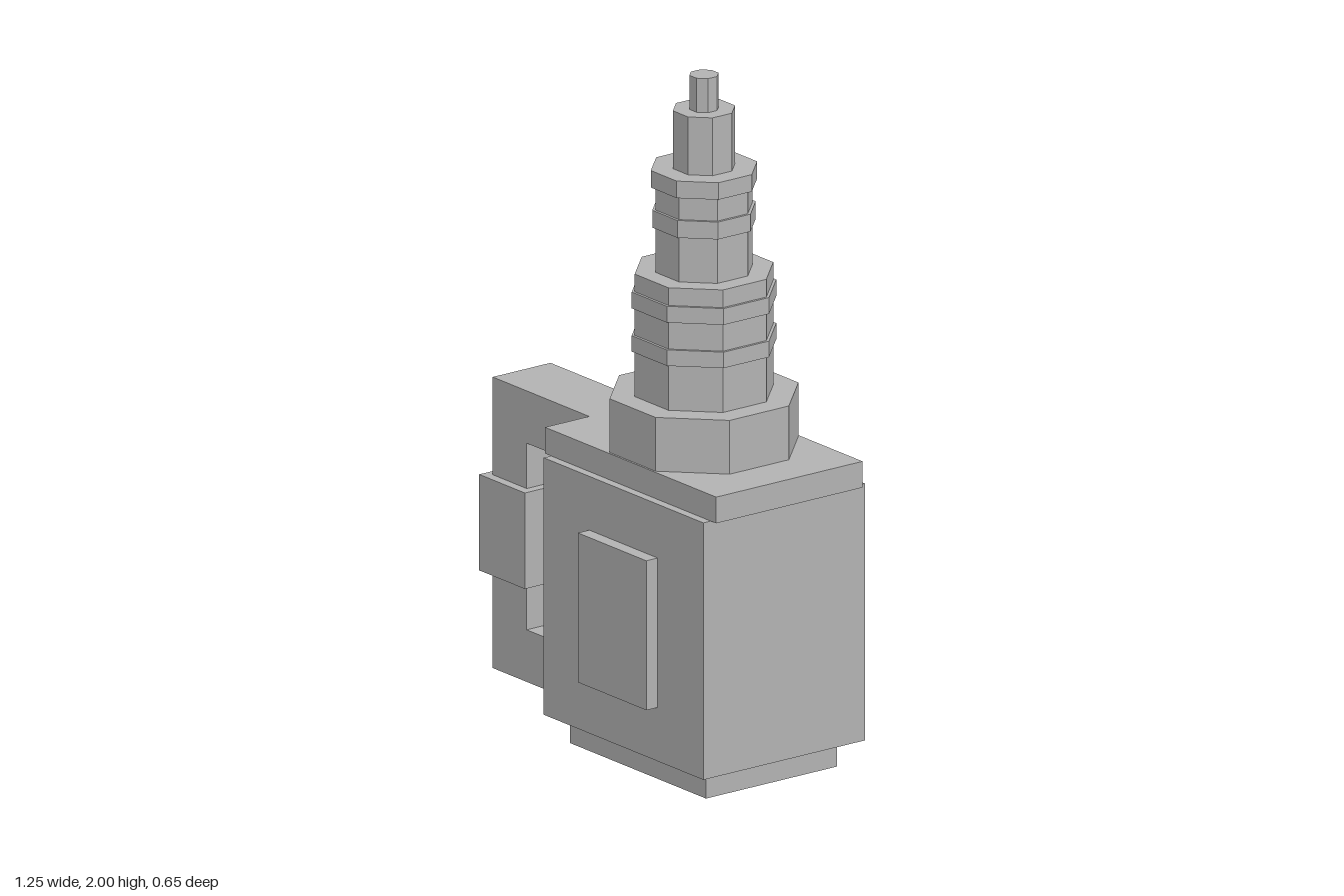
import * as THREE from 'three';

export function createModel() {
  const model = new THREE.Group();
  model.name = 'model';
  const grey = new THREE.MeshStandardMaterial({ color: 0xb3b3b3, flatShading: true });
  grey.name = 'plain grey';

  const add = (name, geometry) => {
    const mesh = new THREE.Mesh(geometry, grey);
    mesh.name = name;
    model.add(mesh);
    return mesh;
  };

  // Block given by its x, y and z limits
  const block = (name, x0, x1, y0, y1, z0, z1) =>
    add(name, new THREE.BoxGeometry(x1 - x0, y1 - y0, z1 - z0))
      .position.set((x0 + x1) / 2, (y0 + y1) / 2, (z0 + z1) / 2);

  // Housing
  block('foot', -0.08, 0.54, 0, 0.08, -0.232, 0.23);
  block('body', -0.132, 0.595, 0.08, 0.835, -0.287, 0.282);
  block('lid', -0.16, 0.62, 0.835, 0.912, -0.26, 0.256);
  block('frontPanel', 0.075, 0.387, 0.238, 0.677, 0.282, 0.322);
  block('backPanel', 0.075, 0.387, 0.238, 0.677, -0.327, -0.287);

  // C-shaped handle, stepped at the top to meet the lid
  const outline = new THREE.Shape([
    [-0.6, 0.057], [-0.132, 0.057], [-0.132, 0.21], [-0.445, 0.21], [-0.445, 0.758],
    [-0.132, 0.758], [-0.132, 0.835], [-0.16, 0.835], [-0.16, 0.912], [-0.6, 0.912],
  ].map(([x, y]) => new THREE.Vector2(x, y)));
  add('handle', new THREE.ExtrudeGeometry(outline, { depth: 0.204, bevelEnabled: false }))
    .position.z = -0.104;
  block('grip', -0.625, -0.417, 0.343, 0.625, -0.132, 0.128);

  // Octagonal tower: half width across flats, bottom, top
  const tiers = [
    ['towerBase', 0.252, 0.912, 1.07],
    ['lowerTier', 0.185, 1.07, 1.43],
    ['lowerRing', 0.193, 1.203, 1.25],
    ['upperRing', 0.193, 1.33, 1.378],
    ['middleTier', 0.13, 1.43, 1.68],
    ['middleRing', 0.138, 1.562, 1.613],
    ['middleFlange', 0.142, 1.68, 1.73],
    ['upperTier', 0.083, 1.73, 1.9],
    ['tip', 0.039, 1.9, 2],
  ];
  for (const [name, half, y0, y1] of tiers) {
    const r = half / Math.cos(Math.PI / 8);
    const geometry = new THREE.CylinderGeometry(r, r, y1 - y0, 8, 1, false, Math.PI / 8);
    add(name, geometry).position.set(0.231, (y0 + y1) / 2, -0.002);
  }
  return model;
}
